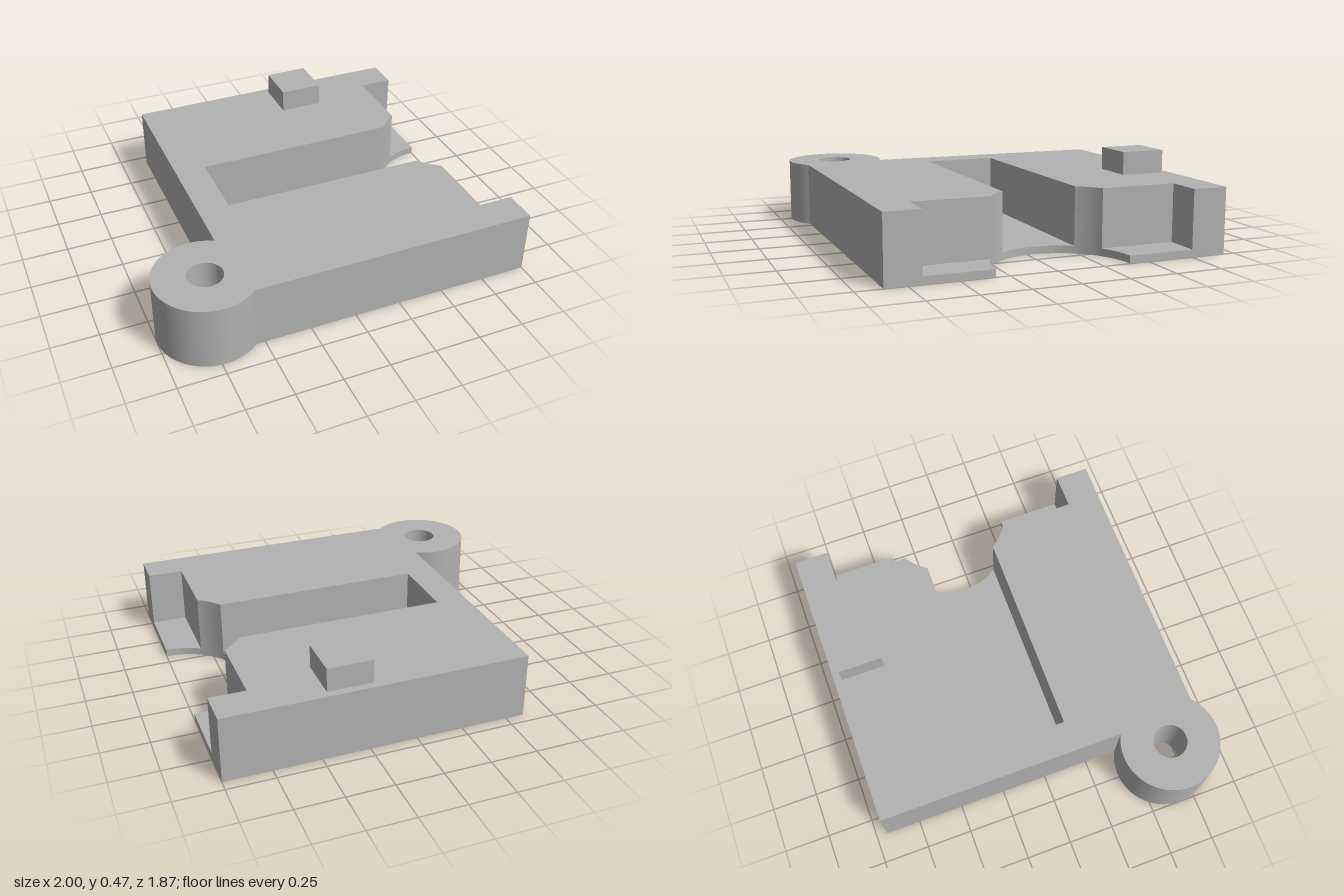
import * as THREE from 'three';
import { toCreasedNormals } from 'three/addons/utils/BufferGeometryUtils.js';

const FLOOR = 0.04, TOP = 0.35;
const LEFT = -0.6, RIGHT = 1, BACK = -0.94, FRONT = 0.865;
const lug = { x: -0.73, z: 0.665, r: 0.27, hole: 0.092 };
const bay = { x: 1, z: -0.035, r: 0.357 };

// Extrudes a plan drawn in (x, z) between two heights
function slab(shape, y0, y1) {
  const geo = new THREE.ExtrudeGeometry(shape, { depth: y1 - y0, bevelEnabled: false, curveSegments: 48 });
  geo.rotateX(Math.PI / 2).translate(0, y1, 0);
  return toCreasedNormals(geo, 0.5);
}

// Plan of the body: rectangle with a round bay on one side and a lug at one corner
function plan(drawBay) {
  const s = new THREE.Shape();
  s.moveTo(LEFT, BACK);
  s.lineTo(RIGHT, BACK);
  drawBay(s);
  s.lineTo(RIGHT, FRONT);
  const dz = FRONT - lug.z, dx = LEFT - lug.x;
  s.absarc(lug.x, lug.z, lug.r, Math.asin(dz / lug.r), -Math.acos(dx / lug.r), false);
  s.lineTo(LEFT, BACK);
  const hole = new THREE.Path();
  hole.absarc(lug.x, lug.z, lug.hole, 0, Math.PI * 2, true);
  s.holes.push(hole);
  return s;
}

export function createModel() {
  const group = new THREE.Group();
  const grey = new THREE.MeshStandardMaterial({ color: 0xb2b2b2 });
  grey.name = 'plain grey';
  const add = (name, geo) => {
    const mesh = new THREE.Mesh(geo, grey);
    mesh.name = name;
    group.add(mesh);
    return mesh;
  };

  // Thin floor, cut only by the round bay
  add('floorPlate', slab(plan((s) => {
    s.absarc(bay.x, bay.z, bay.r, -Math.PI / 2, -Math.PI * 1.5, true);
  }), 0, FLOOR));

  // Thick walls, with two side pockets and a long slot opening into the bay
  const pocketX = 0.81, slotEnd = -0.43, slotHalf = 0.2;
  const a = Math.acos((pocketX - bay.x) / bay.r);
  const b = Math.PI - Math.asin(slotHalf / bay.r);
  add('walls', slab(plan((s) => {
    s.lineTo(RIGHT, -0.75);
    s.lineTo(pocketX, -0.75);
    s.absarc(bay.x, bay.z, bay.r, -a, -b, true);
    s.lineTo(slotEnd, bay.z - slotHalf);
    s.lineTo(slotEnd, bay.z + slotHalf);
    s.absarc(bay.x, bay.z, bay.r, b, a, true);
    s.lineTo(pocketX, 0.68);
    s.lineTo(RIGHT, 0.68);
  }), FLOOR, TOP));

  // Small block standing on the top face
  add('topPeg', new THREE.BoxGeometry(0.24, 0.125, 0.245)).position.set(0.34, TOP + 0.0625, -0.775);

  return group;
}
